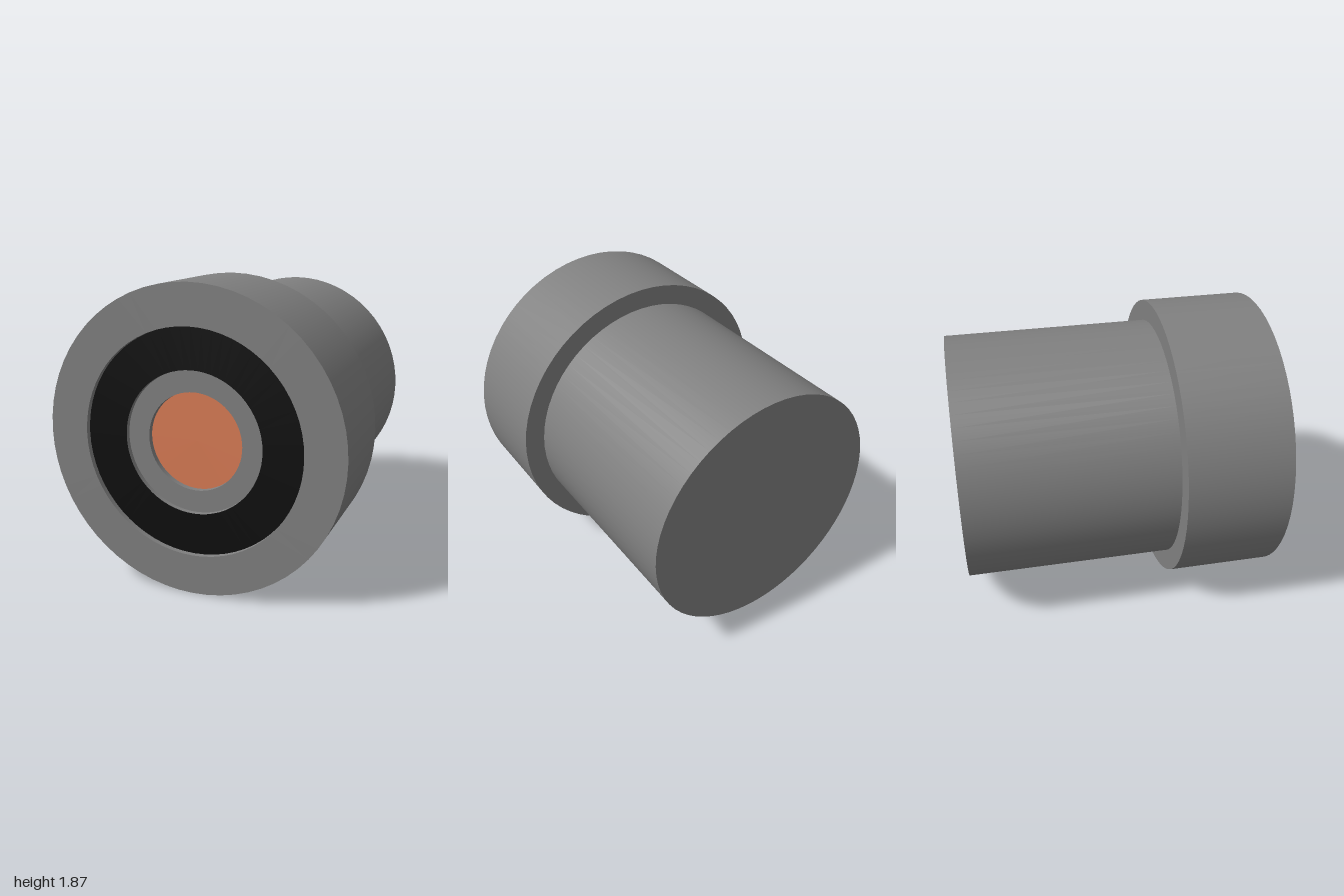
import * as THREE from 'three';
import { mergeGeometries } from 'three/addons/utils/BufferGeometryUtils.js';

const SEGMENTS = 64;
const RADIUS = 0.933;

// Revolve a [radius, z] profile about z; each straight run keeps its own normals so corners stay crisp.
function turned(profile) {
  const runs = [];
  for (let i = 0; i < profile.length - 1; i++) {
    const ends = [profile[i], profile[i + 1]].map(([r, z]) => new THREE.Vector2(r, z));
    runs.push(new THREE.LatheGeometry(ends, SEGMENTS));
  }
  return mergeGeometries(runs).rotateX(Math.PI / 2);
}

export function createModel() {
  const grey = new THREE.MeshStandardMaterial({ name: 'grey metal', color: 0x808080 });
  const black = new THREE.MeshStandardMaterial({ name: 'black', color: 0x0e0e0e });
  const copper = new THREE.MeshStandardMaterial({ name: 'copper', color: 0xd97c55 });

  const model = new THREE.Group();
  model.name = 'steppedCylinder';
  const add = (name, profile, material) => {
    const mesh = new THREE.Mesh(turned(profile), material);
    mesh.name = name;
    mesh.position.y = RADIUS;
    model.add(mesh);
  };

  // Closed rear barrel
  add('barrel', [[0, -1], [0.8, -1], [0.8, 0.333]], grey);
  // Wider front collar with the rim of its bore
  add('collar', [[0.8, 0.333], [RADIUS, 0.333], [RADIUS, 1], [0.687, 1], [0.687, 0.967]], grey);
  // Each inner face is set one small step deeper
  add('blackRing', [[0.687, 0.967], [0.433, 0.967]], black);
  add('innerRing', [[0.433, 0.967], [0.433, 0.935], [0.298, 0.935], [0.298, 0.9]], grey);
  add('copperDisc', [[0.298, 0.9], [0, 0.9]], copper);

  return model;
}
